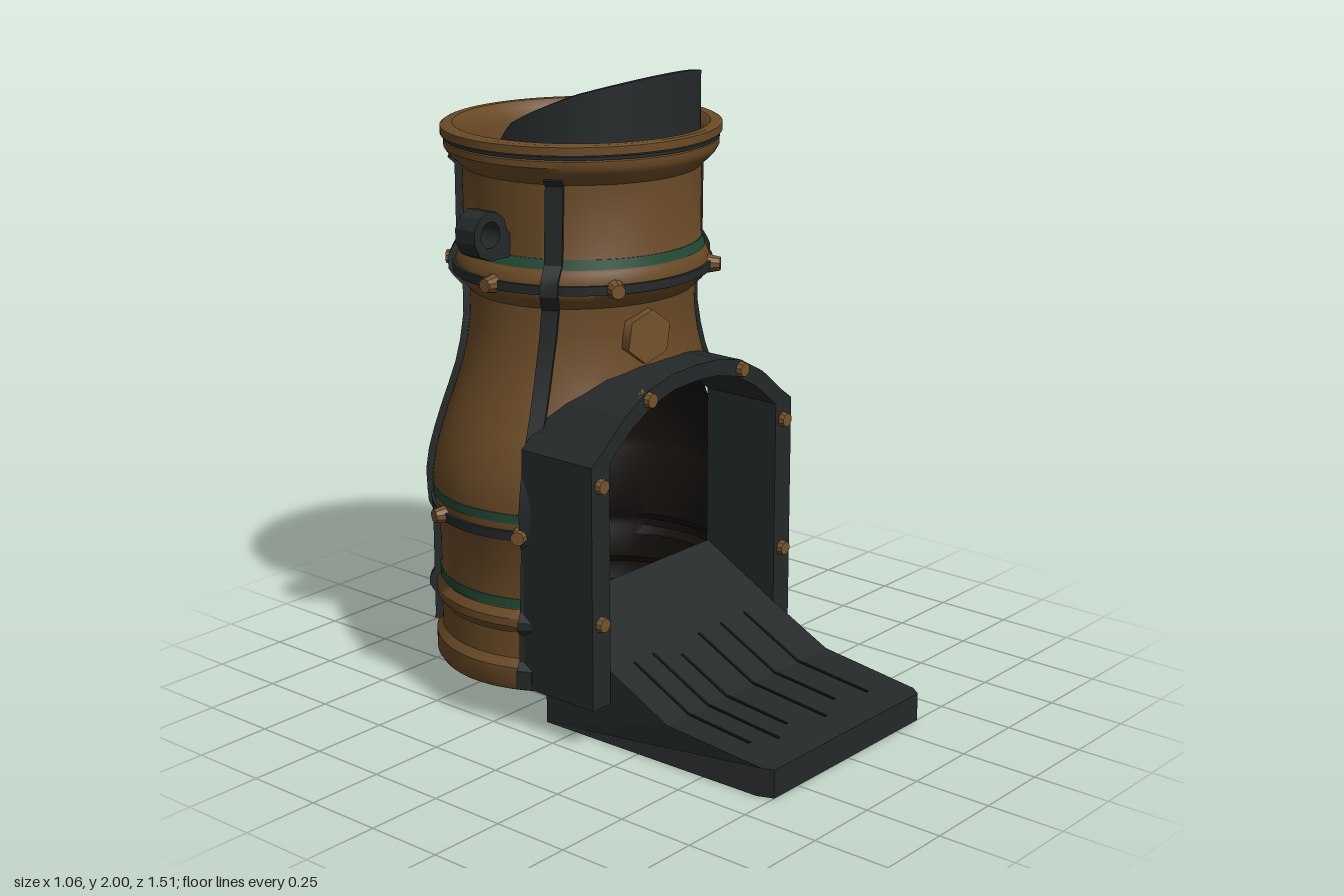
import * as THREE from 'three';
import { toCreasedNormals } from 'three/addons/utils/BufferGeometryUtils.js';

const mat = (color, side = THREE.FrontSide) => new THREE.MeshStandardMaterial({ color, side });
const brown = mat(0x6a4a26), iron = mat(0x25292a), green = mat(0x244a36);
const dark = mat(0x15110d), brass = mat(0x74522c), groove = mat(0x101213);
const CZ = -0.31, RAD = Math.PI / 180;

// Outer wall of the vessel: [height, half width, half depth]
const wall = [
  [0.125, 0.51, 0.43], [0.14, 0.52, 0.44], [0.2, 0.52, 0.44], [0.225, 0.5, 0.425], [0.31, 0.5, 0.425],
  [0.335, 0.518, 0.438], [0.36, 0.518, 0.438], [0.385, 0.5, 0.425], [0.59, 0.5, 0.425], [0.615, 0.515, 0.435],
  [0.65, 0.518, 0.437], [0.72, 0.522, 0.44], [0.79, 0.512, 0.43], [0.86, 0.492, 0.412], [0.93, 0.466, 0.393],
  [1.0, 0.437, 0.372], [1.07, 0.41, 0.352], [1.14, 0.39, 0.34], [1.22, 0.372, 0.335], [1.31, 0.365, 0.342],
  [1.34, 0.39, 0.375], [1.36, 0.402, 0.39], [1.4, 0.402, 0.39], [1.425, 0.388, 0.382], [1.45, 0.37, 0.37],
  [1.69, 0.37, 0.37], [1.73, 0.415, 0.41], [1.75, 0.43, 0.42], [1.77, 0.43, 0.42], [1.775, 0.42, 0.41],
  [1.785, 0.42, 0.41], [1.79, 0.445, 0.425], [1.815, 0.445, 0.425],
];
const lip = [[1.82, 0.435, 0.418], [1.82, 0.4, 0.395], [1.8, 0.375, 0.373], [1.76, 0.36, 0.36], [1.68, 0.358, 0.358]];

// Half width and half depth of the wall at height y
function radii(y) {
  let i = 0;
  while (i < wall.length - 2 && wall[i + 1][0] < y) i++;
  const [a, b] = [wall[i], wall[i + 1]];
  const t = THREE.MathUtils.clamp((y - a[0]) / (b[0] - a[0]), 0, 1);
  return [a[1] + (b[1] - a[1]) * t, a[2] + (b[2] - a[2]) * t];
}
const onWall = (y, phi, off = 0) => {
  const [rx, rz] = radii(y);
  return [(rx + off) * Math.sin(phi), y, CZ + (rz + off) * Math.cos(phi)];
};

function meshOf(name, geo, material) {
  const m = new THREE.Mesh(geo, material);
  m.name = name;
  return m;
}
function fromFaces(pos, idx, crease) {
  const g = new THREE.BufferGeometry();
  g.setAttribute('position', new THREE.Float32BufferAttribute(pos, 3));
  g.setIndex(idx);
  return toCreasedNormals(g, crease);
}

// Elliptical shell through the rows, leaving out the doorway
function shell(name, rows, material, N = 120) {
  const pos = [], idx = [];
  for (const [y, rx, rz] of rows) for (let i = 0; i < N; i++) {
    const p = i / N * Math.PI * 2;
    pos.push(rx * Math.sin(p), y, CZ + rz * Math.cos(p));
  }
  for (let j = 0; j < rows.length - 1; j++) for (let i = 0; i < N; i++) {
    const p = (i + 0.5) / N * Math.PI * 2, y = (rows[j][0] + rows[j + 1][0]) / 2;
    const x = Math.abs((rows[j][1] + rows[j + 1][1]) / 2 * Math.sin(p));
    if (Math.cos(p) > 0 && x < 0.44 && y < 1.1 - 0.95 * x * x) continue;
    const k = (i + 1) % N, a = j * N + i, b = j * N + k, c = b + N, d = a + N;
    idx.push(a, b, c, a, c, d);
  }
  return meshOf(name, fromFaces(pos, idx, 0.6), material);
}
const band = (name, y, h, off, material) => shell(name, [[-h, -0.01], [-h, off], [h, off], [h, -0.01]].map(([dy, o]) => {
  const [rx, rz] = radii(y + dy);
  return [y + dy, rx + o, rz + o];
}), material);

// Flat iron strap following the wall between two angles
function strap(y0, phi0, y1, phi1) {
  const ys = [y0, ...wall.map(r => r[0]).filter(y => y > y0 && y < y1), y1];
  const pos = [], idx = [];
  ys.forEach((y, j) => {
    const phi = (phi0 + (phi1 - phi0) * (y - y0) / (y1 - y0)) * RAD, w = 0.026 / radii(y)[0];
    for (const [s, o] of [[-1, -0.01], [-1, 0.022], [1, 0.022], [1, -0.01]]) pos.push(...onWall(y, phi + s * w, o));
    if (j) for (let k = 0; k < 4; k++) {
      const a = (j - 1) * 4 + k, b = (j - 1) * 4 + (k + 1) % 4;
      idx.push(a, b, b + 4, a, b + 4, a + 4);
    }
  });
  const e = (ys.length - 1) * 4;
  idx.push(0, 2, 1, 0, 3, 2, e, e + 1, e + 2, e, e + 2, e + 3);
  return meshOf('strap', fromFaces(pos, idx, 0.5), iron);
}

// Round-headed rivet pointing along an angle about the vertical
function rivet(x, y, z, phi) {
  const g = new THREE.CylinderGeometry(0.022, 0.03, 0.04, 10).rotateX(Math.PI / 2);
  const m = meshOf('rivet', toCreasedNormals(g, 0.5), brass);
  m.position.set(x, y, z);
  m.rotation.y = phi;
  return m;
}

function extrude(shape, depth) {
  return new THREE.ExtrudeGeometry(shape, { depth, bevelEnabled: false, curveSegments: 20 });
}
const shapeOf = pts => new THREE.Shape(pts.map(p => new THREE.Vector2(...p)));
const mirrored = half => [...half, ...half.slice(0, -1).reverse().map(([x, y]) => [-x, y])];

// Curved hood standing inside the front of the rim
function hood() {
  const pos = [], idx = [], N = 48, prof = [[-0.31, 1.8], [-0.27, 1.86], [-0.2, 1.9], [-0.08, 1.955], [0.055, 2]];
  const topAt = z => {
    let i = 0;
    while (i < prof.length - 2 && prof[i + 1][0] < z) i++;
    const [a, b] = [prof[i], prof[i + 1]];
    return a[1] + (b[1] - a[1]) * (z - a[0]) / (b[0] - a[0]);
  };
  for (let i = 0; i <= N; i++) {
    const p = (i / N - 0.5) * Math.PI, s = Math.sin(p), c = Math.cos(p), top = topAt(CZ + 0.365 * c);
    for (const [r, y] of [[0.367, 1.7], [0.367, top], [0.35, top], [0.35, 1.7]]) pos.push(r * s, y, CZ + r * c);
    if (i) for (let k = 0; k < 4; k++) {
      const a = (i - 1) * 4 + k, b = (i - 1) * 4 + (k + 1) % 4;
      idx.push(a, a + 4, b + 4, a, b + 4, b);
    }
  }
  const e = N * 4;
  idx.push(0, 1, 2, 0, 2, 3, e, e + 2, e + 1, e, e + 3, e + 2);
  return meshOf('hood', fromFaces(pos, idx, 0.6), iron);
}

export function createModel() {
  const g = new THREE.Group();
  g.name = 'furnace';

  // Vessel, dark lining and floor
  g.add(shell('vessel', [...wall, ...lip], brown));
  g.add(shell('lining', wall.filter(r => r[0] < 1.7).map(([y, a, b]) => [y, a - 0.012, b - 0.012]).reverse(), dark));
  const base = new THREE.CylinderGeometry(1, 1, 0.01, 96).scale(0.51, 1, 0.43).translate(0, 0.13, CZ);
  g.add(meshOf('base', base, brown));
  const floor = new THREE.CircleGeometry(1, 64).rotateX(-Math.PI / 2).scale(0.5, 1, 0.42).translate(0, 0.138, CZ);
  g.add(meshOf('floor', floor, dark));

  // Hoops and tarnished lines
  for (const [y, h] of [[0.632, 0.015], [1.377, 0.014]]) g.add(band('hoop', y, h, 0.01, iron));
  g.add(band('rimGroove', 1.78, 0.005, 0.012, iron));
  for (const y of [0.405, 0.685, 1.45]) g.add(band('tarnishLine', y, 0.015, 0.003, green));

  // Straps, hoop rivets and lifting lugs on both sides
  for (const s of [1, -1]) {
    g.add(strap(0.14, s * 66, 1.71, s * 60), strap(0.22, s * 135, 1.71, s * 139));
    for (const [y, angles] of [[0.635, [67, 109, 145]], [1.377, [33, 90, 147]]])
      for (const a of angles) g.add(rivet(...onWall(y, s * a * RAD, 0.018), s * a * RAD));
    const lug = shapeOf([[0.36, 1.46], [0.45, 1.46], [0.495, 1.48], [0.517, 1.52], [0.517, 1.56], [0.495, 1.595],
      [0.46, 1.612], [0.42, 1.605], [0.39, 1.58], [0.378, 1.54], [0.36, 1.53]].map(([x, y]) => [s * x, y]));
    lug.holes.push(new THREE.Path().absarc(s * 0.45, 1.54, 0.04, 0, Math.PI * 2));
    g.add(meshOf('lug', extrude(lug, 0.08).translate(0, 0, CZ - 0.04), iron));
  }

  // Arched doorway
  const outer = mirrored([[0.48, 0.14], [0.48, 0.91], [0.425, 0.95], [0.33, 1.03], [0.22, 1.09], [0.11, 1.115], [0, 1.12]]);
  const inner = mirrored([[0.4, 0.14], [0.4, 0.905], [0.3, 0.985], [0.2, 1.04], [0.1, 1.065], [0, 1.07]]);
  g.add(meshOf('doorway', extrude(shapeOf([...outer, ...inner.reverse()]), 0.28).translate(0, 0, -0.13), iron));
  for (const s of [1, -1])
    for (const [x, y] of [[0.44, 0.41], [0.44, 0.845], [0.22, 1.06]]) g.add(rivet(s * x, y, 0.147, 0));

  // Sloping chute with chamfered front corners
  const side = [[-0.12, 0], [0.7, 0], [0.75, 0], [0.75, 0.09], [0.72, 0.093], [0.37, 0.13], [0.15, 0.24], [-0.12, 0.385]];
  const chute = extrude(shapeOf(side), 0.79).rotateY(-Math.PI / 2).translate(0.395, 0, 0);
  const p = chute.attributes.position;
  for (let i = 0; i < p.count; i++) {
    const z = p.getZ(i);
    p.setX(i, p.getX(i) * (z > 0.74 ? 0.92 : z > 0.69 ? 0.97 : 1));
  }
  chute.computeVertexNormals();
  g.add(meshOf('chute', chute, iron));

  // Grooves running down the chute
  for (const [x, z0, z1] of [[-0.29, 0.15, 0.6], [-0.2, 0.15, 0.64], [-0.11, 0.19, 0.6], [0.02, 0.15, 0.65], [0.13, 0.15, 0.6], [0.25, 0.15, 0.64]]) {
    const yEnd = 0.13 - (z1 - 0.37) * 0.106, yTop = 0.24 - (z0 - 0.15) * 0.5;
    const line = [[z0, yTop], [0.37, 0.13], [z1, yEnd]];
    const strip = shapeOf([...line.map(([z, y]) => [z, y + 0.003]), ...line.map(([z, y]) => [z, y - 0.01]).reverse()]);
    g.add(meshOf('chuteGroove', extrude(strip, 0.01).rotateY(-Math.PI / 2).translate(x + 0.005, 0, 0), groove));
  }

  // Six-sided plate on the front
  const plate = meshOf('plate', new THREE.CylinderGeometry(0.085, 0.085, 0.04, 6).rotateX(Math.PI / 2), brass);
  plate.position.set(-0.09, 1.21, 0.025);
  plate.rotation.set(0, -0.2, -0.15);
  g.add(plate, hood());
  return g;
}
